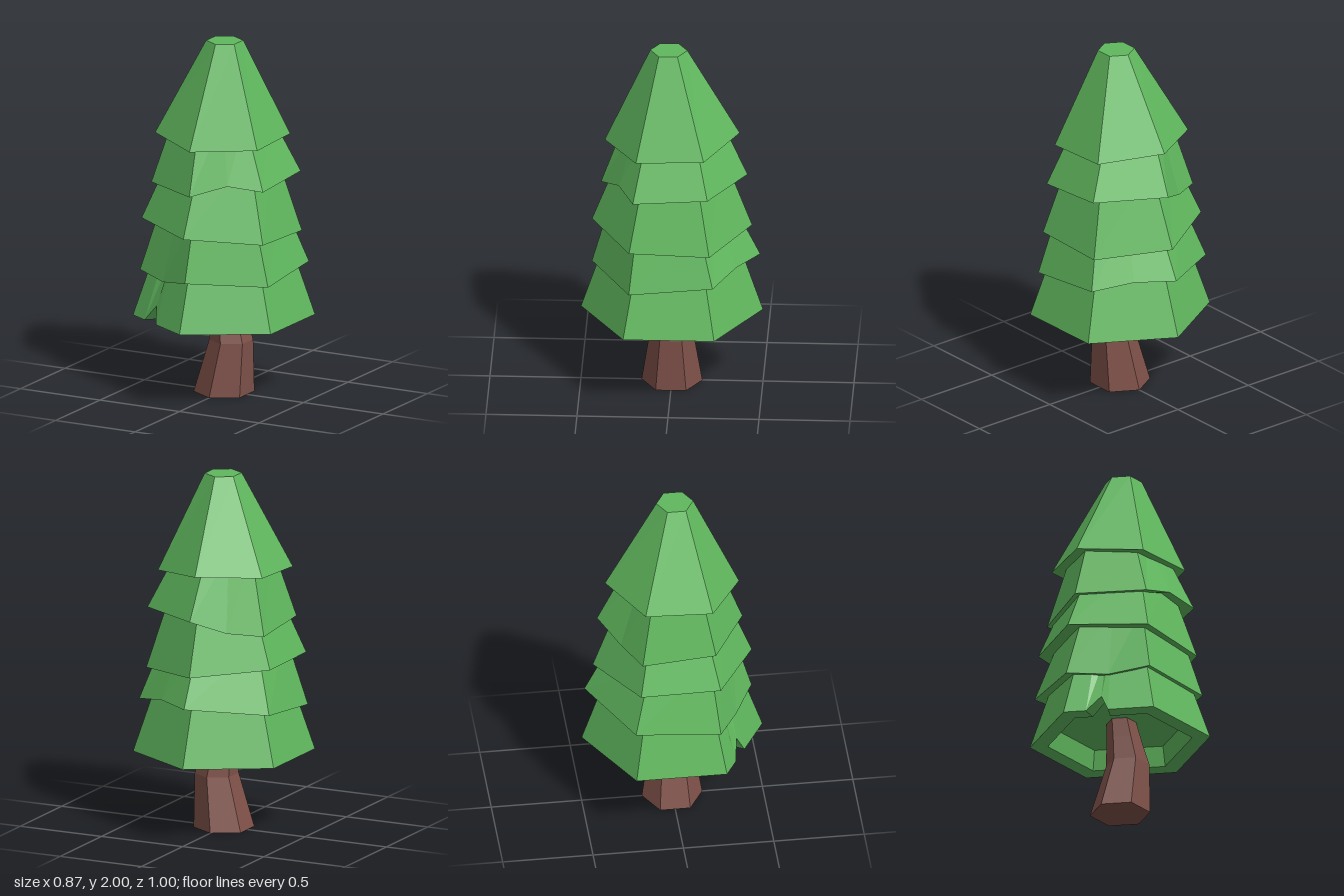
import * as THREE from 'three';

// Skin a stack of closed rings (bottom to top), capped at both ends
function loft(rings) {
  const pos = [];
  const tri = (...pts) => pts.forEach((p) => pos.push(...p));
  const n = rings[0].length;
  const middle = (ring) => [0, 1, 2].map((k) => ring.reduce((s, p) => s + p[k], 0) / n);
  const first = rings[0], last = rings[rings.length - 1];
  const c0 = middle(first), c1 = middle(last);
  for (let i = 0; i < n; i++) {
    const j = (i + 1) % n;
    tri(c0, first[j], first[i]);
    for (let r = 0; r < rings.length - 1; r++) {
      const a = rings[r], b = rings[r + 1];
      tri(a[i], a[j], b[j]);
      tri(a[i], b[j], b[i]);
    }
    tri(c1, last[i], last[j]);
  }
  const geo = new THREE.BufferGeometry();
  geo.setAttribute('position', new THREE.Float32BufferAttribute(pos, 3));
  geo.computeVertexNormals();
  return geo;
}

// Hexagon ring with a corner toward +z
function hexRing(cx, y, cz, r) {
  return Array.from({ length: 6 }, (_, i) => {
    const a = (i * Math.PI) / 3;
    return [cx + r * Math.sin(a), y, cz + r * Math.cos(a)];
  });
}

// Shrink a ring about (cx, cz); height(y) gives the new height of each point
const shrink = (ring, s, cx, cz, height) =>
  ring.map(([x, y, z]) => [cx + x * s, height(y), cz + z * s]);

export function createModel() {
  const group = new THREE.Group();
  const leaf = new THREE.MeshStandardMaterial({ color: 0x60b85e, flatShading: true });
  const bark = new THREE.MeshStandardMaterial({ color: 0x80524a, flatShading: true });

  const add = (name, geometry, material) => {
    const mesh = new THREE.Mesh(geometry, material);
    mesh.name = name;
    group.add(mesh);
  };

  // Bent trunk
  add('trunk', loft([
    hexRing(0, 0, 0, 0.167),
    hexRing(0.045, 0.3, 0, 0.121),
    hexRing(0.025, 0.435, 0, 0.098),
    hexRing(0.005, 0.57, 0, 0.08),
  ]), bark);

  // Lowest skirt: hollow underneath, with a nick in the front edge
  const skirt = hexRing(0, 0.435, 0, 0.5);
  skirt.push([-0.325, 0.435, 0.312], [-0.24, 0.53, 0.327], [-0.22, 0.435, 0.373]);
  add('lowestBranches', loft([
    shrink(skirt, 0.76, 0, 0, () => 0.55),
    shrink(skirt, 0.8, 0, 0, (y) => y),
    skirt,
    shrink(skirt, 0.72, 0, 0, () => 0.85),
  ]), leaf);

  // Upper skirts: uneven hem from the front corner round by +x, then the narrow top
  const tiers = [
    {
      name: 'lowerBranches', top: 1.1, s: 0.7, c: [0, 0.02],
      hem: [[0, 0.71, 0.44], [0.4, 0.69, 0.22], [0.4, 0.735, -0.24], [0.2, 0.775, -0.36],
        [0, 0.77, -0.485], [-0.405, 0.73, -0.25], [-0.405, 0.69, 0.22], [-0.2, 0.67, 0.33]],
    },
    {
      name: 'middleBranches', top: 1.4, s: 0.61, c: [0.01, 0],
      hem: [[-0.01, 0.96, 0.44], [0.367, 0.925, 0.22], [0.367, 0.91, -0.22],
        [-0.01, 0.94, -0.44], [-0.395, 0.98, -0.22], [-0.395, 0.985, 0.22]],
    },
    {
      name: 'upperBranches', top: 1.6, s: 0.61, c: [-0.02, 0],
      hem: [[0, 1.19, 0.39], [0.18, 1.25, 0.285], [0.357, 1.22, 0.2], [0.365, 1.25, -0.21],
        [0, 1.25, -0.415], [-0.17, 1.18, -0.305], [-0.35, 1.16, -0.205], [-0.345, 1.19, 0.2]],
    },
    {
      name: 'treetop', top: 1.998, s: 0.275, c: [0.016, 0.017],
      hem: [[-0.01, 1.44, 0.37], [0.312, 1.447, 0.185], [0.312, 1.46, -0.187],
        [-0.01, 1.495, -0.372], [-0.33, 1.485, -0.187], [-0.33, 1.47, 0.185]],
    },
  ];
  for (const { name, top, s, c, hem } of tiers) {
    add(name, loft([
      shrink(hem, 0.8, 0, 0, (y) => y + 0.015),
      hem,
      shrink(hem, s, c[0], c[1], () => top),
    ]), leaf);
  }

  // Blend the skirt corners in angular order
  return group;
}
